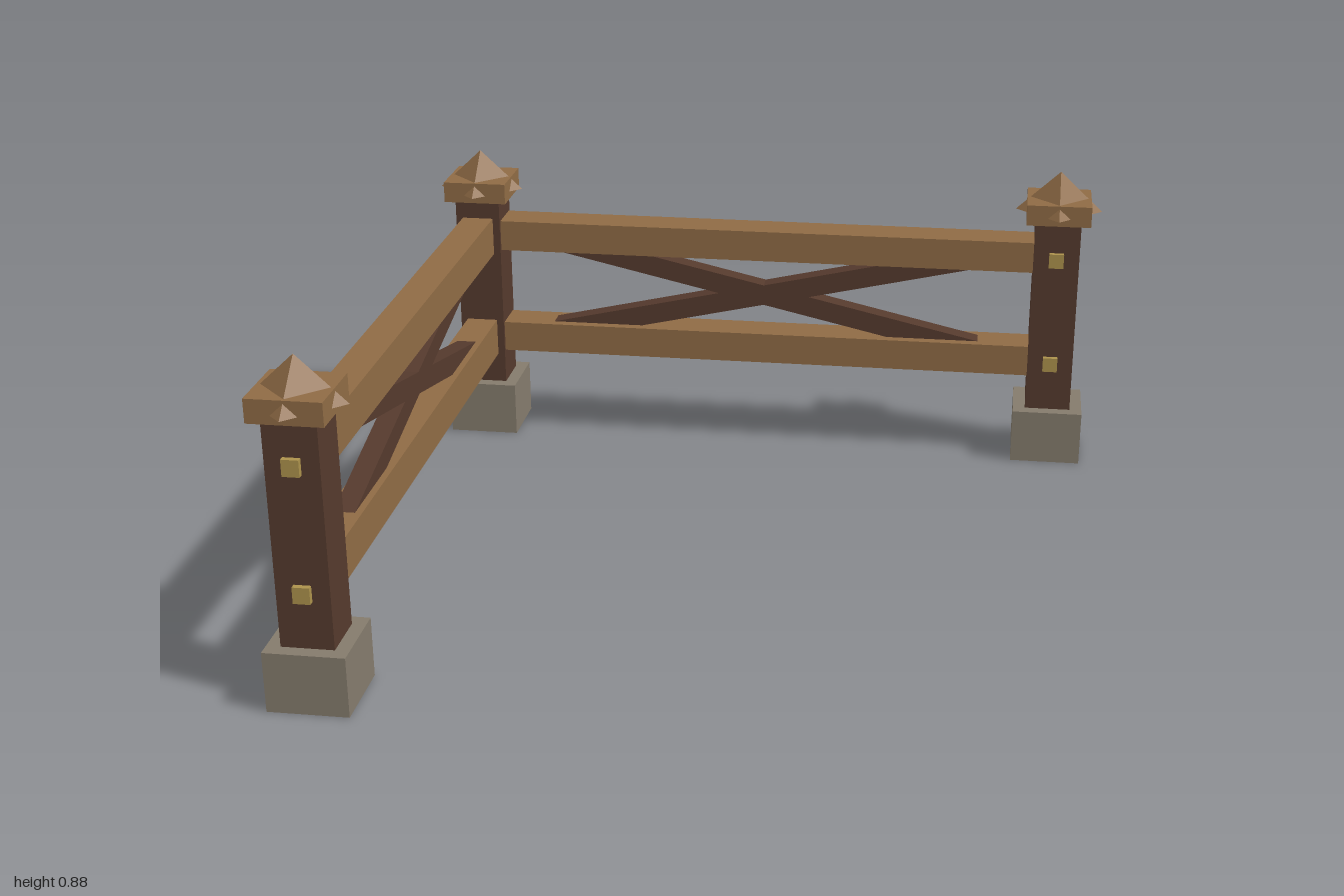
import * as THREE from 'three';

const flat = (name, color) => {
  const m = new THREE.MeshStandardMaterial({ color });
  m.name = name;
  return m;
};

export function createModel() {
  const fence = new THREE.Group();
  fence.name = 'cornerFence';
  const darkWood = flat('darkWood', 0x553a2d);
  const lightWood = flat('lightWood', 0x8f6b45);
  const stone = flat('stone', 0x847b6c);
  const brass = flat('brass', 0xac924c);

  const D = 0.874; // distance of post centres from the axes
  const railHeights = [0.307, 0.634];

  function add(parent, name, geometry, material, x, y, z) {
    const mesh = new THREE.Mesh(geometry, material);
    mesh.name = name;
    mesh.position.set(x, y, z);
    parent.add(mesh);
    return mesh;
  }
  const box = (w, h, d) => new THREE.BoxGeometry(w, h, d);

  // Post with stone foot, square cap and a pyramid turned corner-out
  function addPost(name, x, z, bolted) {
    const post = new THREE.Group();
    post.name = name;
    post.position.set(x, 0, z);
    add(post, 'foot', box(0.206, 0.16, 0.206), stone, 0, 0.08, 0);
    add(post, 'shaft', box(0.134, 0.63, 0.134), darkWood, 0, 0.445, 0);
    add(post, 'cap', box(0.187, 0.061, 0.187), lightWood, 0, 0.776, 0);
    const pyramid = new THREE.ConeGeometry(0.126, 0.117, 4).toNonIndexed();
    pyramid.computeVertexNormals();
    add(post, 'finial', pyramid, lightWood, 0, 0.8265, 0);
    if (bolted) {
      for (const y of railHeights) add(post, 'bolt', box(0.043, 0.043, 0.03), brass, 0, y, 0.067);
    }
    fence.add(post);
  }
  addPost('cornerPost', -D, -D, false);
  addPost('backPost', D, -D, true);
  addPost('frontPost', -D, D, true);

  // Panel along local x: two rails and a crossed pair of braces
  function addPanel(name, railHeight, railDepth) {
    const panel = new THREE.Group();
    panel.name = name;
    for (const y of railHeights) {
      add(panel, 'rail', box(2 * D, railHeight, railDepth), lightWood, 0, y, 0);
    }
    for (const side of [-1, 1]) {
      const brace = add(panel, 'brace', box(1.46, 0.061, 0.056), darkWood, 0, 0.47, 0);
      brace.rotation.z = side * 0.223;
    }
    fence.add(panel);
    return panel;
  }
  addPanel('backPanel', 0.092, 0.112).position.z = -D;
  const sidePanel = addPanel('sidePanel', 0.112, 0.092);
  sidePanel.rotation.y = Math.PI / 2;
  sidePanel.position.x = -D;

  return fence;
}
